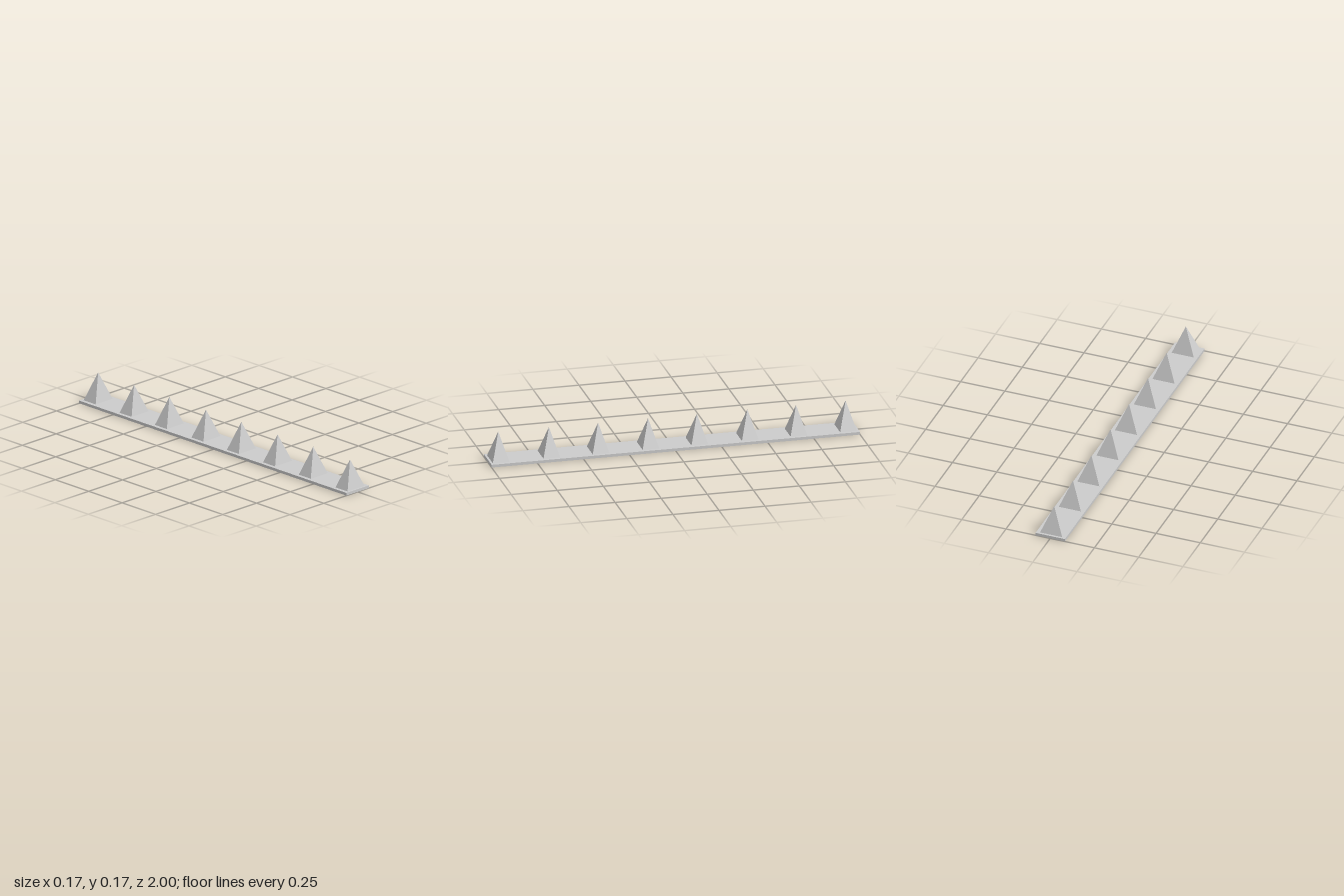
import * as THREE from 'three';

export function createModel() {
  const group = new THREE.Group();
  const material = new THREE.MeshStandardMaterial({ color: 0xcccccc, flatShading: true });

  // Long flat base strip
  const baseHeight = 0.015;
  const base = new THREE.Mesh(new THREE.BoxGeometry(0.166, baseHeight, 2), material);
  base.name = 'baseStrip';
  base.position.y = baseHeight / 2;
  group.add(base);

  // Four-sided spike with a rectangular foot, its origin at the foot
  const spikeHeight = 0.152;
  const spikeGeometry = new THREE.ConeGeometry(Math.SQRT1_2, 1, 4)
    .rotateY(Math.PI / 4)
    .translate(0, 0.5, 0)
    .scale(0.125, spikeHeight, 0.09);

  // Row of spikes along the strip
  const spikePositions = [-0.942, -0.673, -0.409, -0.135, 0.13, 0.401, 0.668, 0.943];
  spikePositions.forEach((z, i) => {
    const spike = new THREE.Mesh(spikeGeometry, material);
    spike.name = `spike${i + 1}`;
    spike.position.set(0, baseHeight, z);
    group.add(spike);
  });

  return group;
}
